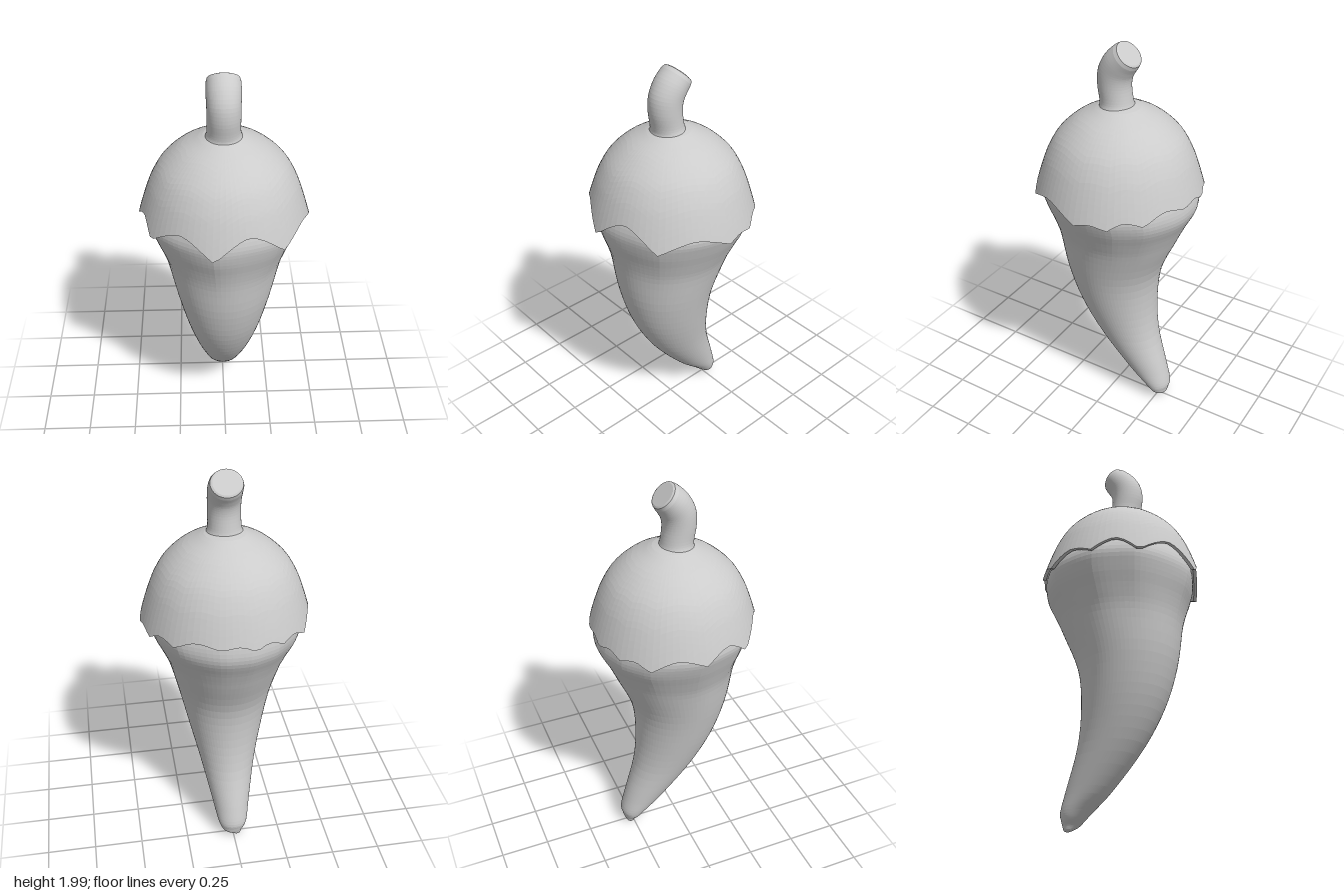
import * as THREE from 'three';

const SEGMENTS = 80;
const material = new THREE.MeshStandardMaterial({ color: 0xcccccc, flatShading: true });

// Skin a stack of closed rings; point(row, angle) gives [x, y, z], angle 0 = +z, 90 degrees = +x
function loft(name, rows, point) {
  const positions = [], index = [];
  for (let i = 0; i < rows; i++) {
    for (let j = 0; j < SEGMENTS; j++) positions.push(...point(i, (j / SEGMENTS) * Math.PI * 2));
  }
  for (let i = 0; i < rows - 1; i++) {
    for (let j = 0; j < SEGMENTS; j++) {
      const k = (j + 1) % SEGMENTS;
      const a = i * SEGMENTS + j, b = i * SEGMENTS + k;
      index.push(a, b, b + SEGMENTS, a, b + SEGMENTS, a + SEGMENTS);
    }
  }
  const geometry = new THREE.BufferGeometry();
  geometry.setAttribute('position', new THREE.Float32BufferAttribute(positions, 3));
  geometry.setIndex(index);
  geometry.computeVertexNormals();
  const mesh = new THREE.Mesh(geometry, material);
  mesh.name = name;
  return mesh;
}

// Smoothly subdivide a short table of ring parameters
function refine(table, steps) {
  const out = [];
  for (let i = 0; i < table.length - 1; i++) {
    const p = [table[Math.max(i - 1, 0)], table[i], table[i + 1], table[Math.min(i + 2, table.length - 1)]];
    for (let s = 0; s < steps; s++) {
      const t = s / steps;
      out.push(p[1].map((v, c) => {
        const m0 = (p[2][c] - p[0][c]) / 2, m1 = (p[3][c] - v) / 2, d = p[2][c] - v;
        return v + m0 * t + (3 * d - 2 * m0 - m1) * t * t + (m0 + m1 - 2 * d) * t * t * t;
      }));
    }
  }
  out.push(table[table.length - 1]);
  return out;
}

// Scalloped lower edge of the cap: [degrees, height], alternating points and arches
const RIM = [
  [-8, 1.25], [16, 1.36], [40, 1.25], [65, 1.31], [90, 1.25], [101, 1.27], [112, 1.25], [124, 1.29],
  [136, 1.265], [152, 1.315], [168, 1.29], [180, 1.305], [191, 1.275], [201, 1.3], [211, 1.27],
  [222, 1.29], [233, 1.25], [252, 1.31], [270, 1.27], [287, 1.33], [303, 1.26], [328, 1.35], [352, 1.25],
];
function rimHeight(angle) {
  let deg = THREE.MathUtils.radToDeg(angle);
  if (deg > 352) deg -= 360;
  const i = RIM.findIndex((r, n) => n > 0 && deg <= r[0]);
  const [a0, y0] = RIM[i - 1], [a1, y1] = RIM[i];
  const t = (deg - a0) / (a1 - a0);
  // rounded arches meeting in sharp points
  const s = y1 > y0 ? Math.sin((t * Math.PI) / 2) : 1 - Math.cos((t * Math.PI) / 2);
  return y0 + (y1 - y0) * (0.75 * s + 0.25 * t);
}

// Dome profile: [height, radius]
const DOME = refine([
  [1.7, 0], [1.695, 0.08], [1.67, 0.14], [1.625, 0.22], [1.55, 0.3],
  [1.47, 0.348], [1.4, 0.376], [1.32, 0.402], [1.23, 0.428],
], 6);
function domeRadius(y) {
  const i = DOME.findIndex((p, n) => n > 0 && p[0] <= y);
  const [y0, r0] = DOME[i - 1], [y1, r1] = DOME[i];
  return r0 + ((r1 - r0) * (y - y0)) / (y1 - y0);
}

function createCap() {
  const n = 20, inner = 6;
  return loft('cap', inner + n + 1, (i, angle) => {
    const rim = rimHeight(angle);
    let y, r;
    if (i < inner) { // underside, down to the rim
      y = THREE.MathUtils.lerp(1.45, rim, i / (inner - 1));
      r = domeRadius(y) - 0.018;
    } else { // outside, from the rim up to the crown
      const t = (i - inner) / n;
      y = 1.7 - (1.7 - rim) * Math.pow(1 - t, 1.6);
      r = i === inner + n ? 0 : domeRadius(y);
    }
    return [r * Math.sin(angle), y, r * Math.cos(angle)];
  });
}

function createBody() {
  // height, centre z, half width, half depth, centre x
  const rings = refine([
    [0.005, -0.27, 0, 0, -0.02], [0.012, -0.268, 0.02, 0.018, -0.018], [0.035, -0.262, 0.048, 0.036, 0],
    [0.06, -0.252, 0.066, 0.052, 0], [0.1, -0.234, 0.08, 0.075, 0], [0.2, -0.167, 0.102, 0.115, 0],
    [0.4, -0.057, 0.147, 0.166, 0], [0.6, 0.008, 0.195, 0.21, 0], [0.8, 0.03, 0.24, 0.25, 0],
    [1, 0.005, 0.288, 0.307, 0], [1.1, -0.005, 0.326, 0.343, 0], [1.2, -0.012, 0.37, 0.385, 0],
    [1.28, -0.005, 0.392, 0.39, 0], [1.36, 0, 0.365, 0.365, 0], [1.44, 0, 0.325, 0.325, 0], [1.52, 0, 0, 0, 0],
  ], 4);
  return loft('pepperBody', rings.length, (i, angle) => {
    const [y, z, rx, rz, x] = rings[i];
    // shallow flutes below the arches of the cap
    const flute = 1 - 0.35 * (rimHeight(angle) - 1.25) * THREE.MathUtils.smoothstep(y, 0.9, 1.25);
    return [x + rx * flute * Math.sin(angle), y, z + rz * flute * Math.cos(angle)];
  });
}

function createStem() {
  // height, centre z, half width, half depth, tilt
  const rings = refine([
    [1.67, 0.015, 0.1, 0.1, 0], [1.69, 0.017, 0.088, 0.084, 0], [1.72, 0.022, 0.08, 0.08, 0],
    [1.79, 0.032, 0.079, 0.082, 0.05], [1.85, 0.026, 0.08, 0.084, 0.25],
    [1.9, 0, 0.082, 0.081, 0.55], [1.935, -0.032, 0.081, 0.075, 0.78],
  ], 4);
  // slightly bevelled slanted end
  rings.push([1.948, -0.045, 0.076, 0.069, 0.8], [1.951, -0.048, 0.066, 0.06, 0.8], [1.951, -0.048, 0, 0, 0.8]);
  return loft('stem', rings.length, (i, angle) => {
    const [y, z, rx, rz, tilt] = rings[i];
    const d = rz * Math.cos(angle);
    return [rx * Math.sin(angle), y + d * Math.sin(tilt), z + d * Math.cos(tilt)];
  });
}

export function createModel() {
  const group = new THREE.Group();
  group.name = 'chiliPepper';
  group.add(createBody(), createCap(), createStem());
  return group;
}
